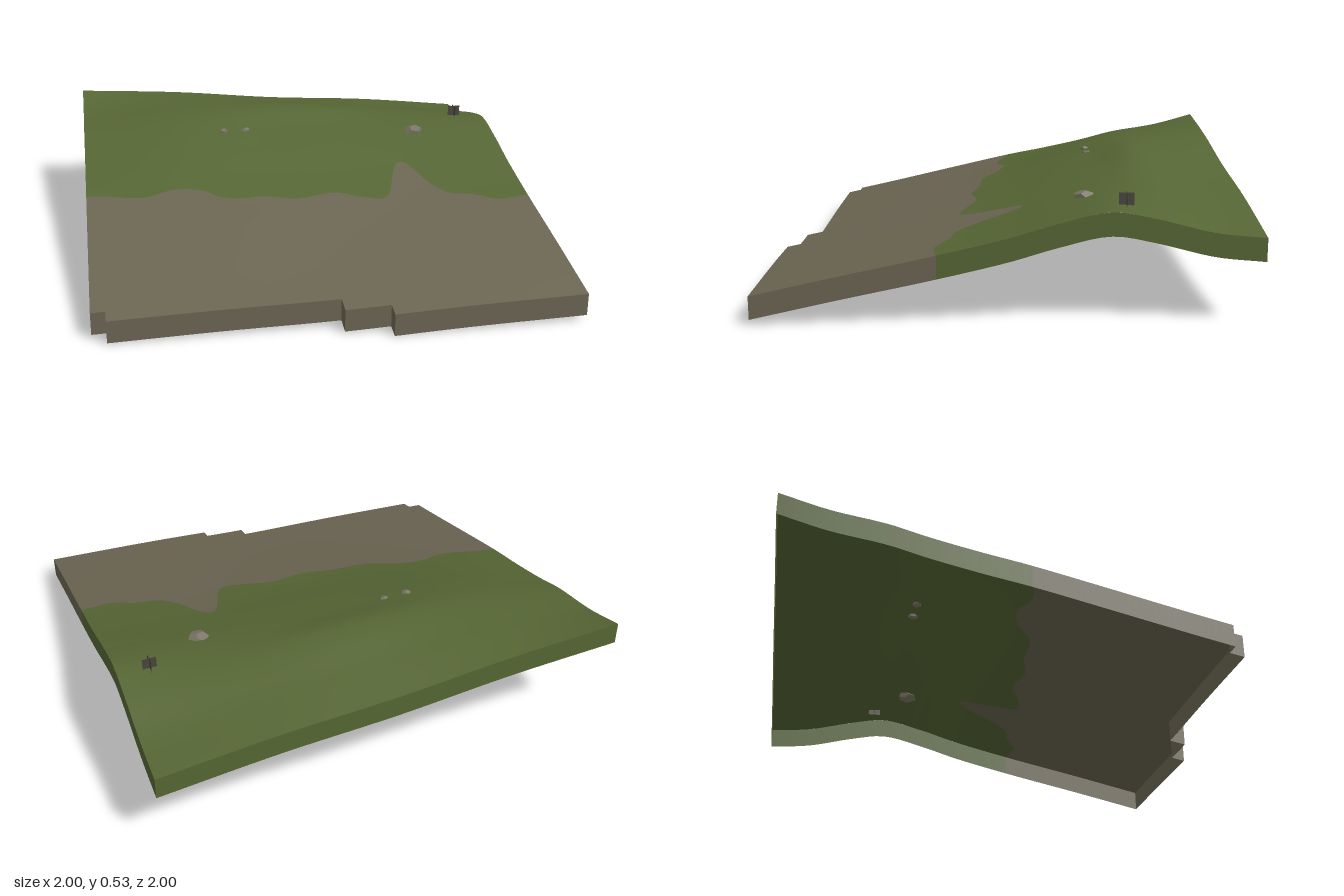
import * as THREE from 'three';

const GRASS = new THREE.MeshStandardMaterial({ color: 0x566634, side: THREE.DoubleSide });
GRASS.name = 'grass green';
const DIRT = new THREE.MeshStandardMaterial({ color: 0x6b6552, side: THREE.DoubleSide });
DIRT.name = 'dirt brown';
const STONE = new THREE.MeshStandardMaterial({ color: 0x7a7566, flatShading: true });
STONE.name = 'stone grey';
const WOOD = new THREE.MeshStandardMaterial({ color: 0x4a463e, side: THREE.DoubleSide });
WOOD.name = 'post brown';

const SKIRT = 0.095;

// Hill profiles: heights along z for five evenly spaced x positions
const PROFILE_Z = [-1, -0.8, -0.57, -0.4, -0.2, 0, 0.3, 0.65, 1];
const PROFILES = [
  [0.525, 0.47, 0.43, 0.385, 0.34, 0.3, 0.23, 0.147, 0.068],
  [0.492, 0.5, 0.495, 0.455, 0.39, 0.325, 0.245, 0.16, 0.08],
  [0.44, 0.475, 0.51, 0.46, 0.4, 0.335, 0.255, 0.165, 0.087],
  [0.405, 0.43, 0.465, 0.447, 0.395, 0.335, 0.26, 0.183, 0.105],
  [0.35, 0.37, 0.425, 0.45, 0.405, 0.345, 0.272, 0.195, 0.115],
];

// Smooth curve through (xs, ys), evaluated at x
function spline(xs, ys, x) {
  const n = xs.length;
  let i = 0;
  while (i < n - 2 && x > xs[i + 1]) i++;
  const slope = (k) => {
    const a = Math.max(k - 1, 0), b = Math.min(k + 1, n - 1);
    return (ys[b] - ys[a]) / (xs[b] - xs[a]);
  };
  const h = xs[i + 1] - xs[i], t = (x - xs[i]) / h, t2 = t * t, t3 = t2 * t;
  return (2 * t3 - 3 * t2 + 1) * ys[i] + (t3 - 2 * t2 + t) * h * slope(i)
    + (3 * t2 - 2 * t3) * ys[i + 1] + (t3 - t2) * h * slope(i + 1);
}

const height = (x, z) =>
  spline([-1, -0.5, 0, 0.5, 1], PROFILES.map((p) => spline(PROFILE_Z, p, z)), x);

// Where the grass gives way to dirt
const EDGE = [
  [-1, 0], [-0.9, 0.02], [-0.8, 0.05], [-0.72, 0.055], [-0.6, 0.02], [-0.47, 0.05],
  [-0.4, 0.11], [-0.3, 0.13], [-0.2, 0.13], [-0.05, 0.165], [0.12, 0.14], [0.25, 0.19],
  [0.36, 0.19], [0.43, 0], [0.47, -0.07], [0.52, -0.03], [0.57, 0.1], [0.64, 0.2],
  [0.75, 0.23], [0.85, 0.285], [0.93, 0.28], [1, 0.27],
];
const edgeX = EDGE.map((p) => p[0]), edgeZ = EDGE.map((p) => p[1]);
const grassEdge = (x) => spline(edgeX, edgeZ, x);

// Columns across x; doubled where the front edge steps forward
const STEPS = [[-1, -0.94, 0.81], [-0.94, 0, 0.87], [0, 0.19, 0.94], [0.19, 1, 1]];
const columns = [];
for (const [x0, x1, front] of STEPS) {
  const n = Math.ceil((x1 - x0) / 0.025);
  for (let i = 0; i <= n; i++) columns.push({ x: x0 + ((x1 - x0) * i) / n, front });
}

function gridGeometry(count, rows, point, normal) {
  const positions = [], normals = [], index = [];
  for (let i = 0; i < count; i++) {
    for (let j = 0; j <= rows; j++) {
      const p = point(i, j / rows);
      positions.push(...p);
      if (normal) normals.push(...normal(p));
      if (i < count - 1 && j < rows) {
        const a = i * (rows + 1) + j, b = a + rows + 1;
        index.push(a, a + 1, b, b, a + 1, b + 1);
      }
    }
  }
  const g = new THREE.BufferGeometry();
  g.setAttribute('position', new THREE.Float32BufferAttribute(positions, 3));
  g.setIndex(index);
  if (normal) {
    g.setAttribute('normal', new THREE.Float32BufferAttribute(normals, 3));
    return g;
  }
  const flat = g.toNonIndexed();
  flat.computeVertexNormals();
  return flat;
}

function groundNormal([x, , z]) {
  const e = 0.01;
  return new THREE.Vector3(
    height(x - e, z) - height(x + e, z), 2 * e, height(x, z - e) - height(x, z + e),
  ).normalize().toArray();
}

// Ground sheet between two z limits
function ground(rows, back, front) {
  return gridGeometry(columns.length, rows, (i, t) => {
    const c = columns[i], z = THREE.MathUtils.lerp(back(c), front(c), t);
    return [c.x, height(c.x, z), z];
  }, groundNormal);
}

// Vertical border hanging from a path of [x, z] points
function skirt(path) {
  return gridGeometry(path.length, 1, (i, t) => {
    const [x, z] = path[i];
    return [x, height(x, z) - SKIRT * t, z];
  });
}

function line(x, z0, z1, n = 30) {
  return Array.from({ length: n + 1 }, (_, i) => [x, z0 + ((z1 - z0) * i) / n]);
}

export function createModel() {
  const model = new THREE.Group();
  model.name = 'hillside';
  const add = (name, geometry, material) => {
    const mesh = new THREE.Mesh(geometry, material);
    mesh.name = name;
    model.add(mesh);
    return mesh;
  };

  // Ground surface
  const split = (c) => grassEdge(c.x);
  add('grass', ground(44, () => -1, split), GRASS);
  add('dirt', ground(24, split, (c) => c.front), DIRT);

  // Borders, running anticlockwise seen from above
  const left = grassEdge(-1), right = grassEdge(1);
  add('grassBorder', skirt([
    ...line(1, right, -1),
    ...columns.map((c) => [c.x, -1]).reverse(),
    ...line(-1, -1, left),
  ]), GRASS);
  add('dirtBorder', skirt([
    ...line(-1, left, 0.81),
    ...columns.map((c) => [c.x, c.front]),
    ...line(1, 1, right),
  ]), DIRT);

  // Stones: x, y, z, half sizes, turn
  const stones = [
    ['boulder', 0.61, 0.425, -0.32, 0.05, 0.028, 0.048, 0.4],
    ['leftPebble', -0.22, 0.452, -0.385, 0.025, 0.014, 0.021, 0.9],
    ['rightPebble', -0.33, 0.455, -0.38, 0.023, 0.014, 0.021, 0.2],
  ];
  for (const [name, x, y, z, sx, sy, sz, turn] of stones) {
    const stone = add(name, new THREE.DodecahedronGeometry(1, 0), STONE);
    stone.position.set(x, y, z);
    stone.scale.set(sx, sy, sz);
    stone.rotation.set(0, turn, 0.12);
  }

  // Stump made of two crossed upright plates
  for (const turn of [0, Math.PI / 2]) {
    const plate = add('stumpPlate', new THREE.PlaneGeometry(0.06, 0.075), WOOD);
    plate.position.set(0.865, 0.46, -0.47);
    plate.rotation.y = turn;
  }

  // Rest the lowest border point on the ground
  const low = new THREE.Box3().setFromObject(model).min.y;
  model.children.forEach((m) => { m.position.y -= low; });
  return model;
}
